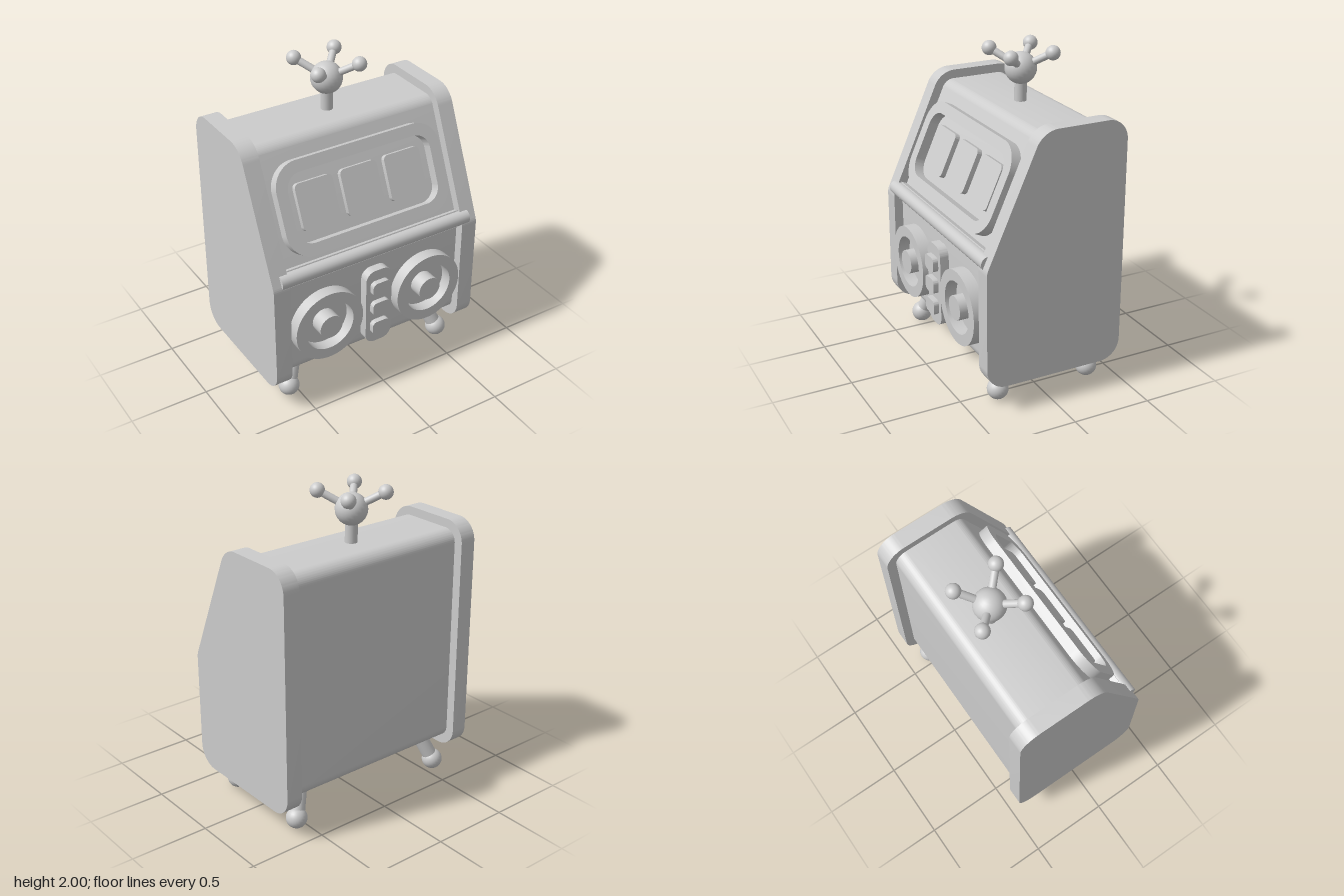
import * as THREE from 'three';
import { toCreasedNormals } from 'three/addons/utils/BufferGeometryUtils.js';

const V = (x, y, z) => new THREE.Vector3(x, y, z);

// Draws a convex counter-clockwise outline; each point is [u, v, cornerRadius].
function filletPath(path, pts) {
  const n = pts.length;
  pts.forEach(([u, v, r], i) => {
    const p = pts[(i + n - 1) % n], q = pts[(i + 1) % n];
    const a = Math.atan2(v - p[1], u - p[0]);
    let b = Math.atan2(q[1] - v, q[0] - u);
    if (b < a) b += Math.PI * 2;
    const t = r * Math.tan((b - a) / 2);
    const cx = u - t * Math.cos(a) - r * Math.sin(a);
    const cy = v - t * Math.sin(a) + r * Math.cos(a);
    path.absarc(cx, cy, r, a - Math.PI / 2, b - Math.PI / 2, false);
  });
  path.closePath();
  return path;
}

const rectPoints = (w, h, r) => [[-w, -h, r], [w, -h, r], [w, h, r], [-w, h, r]];

function extrude(shape, depth) {
  const geo = new THREE.ExtrudeGeometry(shape, { depth, bevelEnabled: false, curveSegments: 12 });
  return toCreasedNormals(geo, 0.5);
}

// Rounded plate with half-sizes w and h, back face on z = 0.
const plate = (w, h, r, depth) => extrude(filletPath(new THREE.Shape(), rectPoints(w, h, r)), depth);

// Side profile in (z, y) extruded along x and centred.
function profile(pts, width) {
  const geo = extrude(filletPath(new THREE.Shape(), pts), width);
  return geo.translate(0, 0, -width / 2).rotateY(-Math.PI / 2);
}

export function createModel() {
  const model = new THREE.Group();
  model.name = 'slotMachine';
  const grey = new THREE.MeshStandardMaterial({ color: 0xcccccc });
  grey.name = 'light grey';

  const add = (name, geo, pos = V(0, 0, 0), parent = model) => {
    const mesh = new THREE.Mesh(geo, grey);
    mesh.name = name;
    mesh.position.copy(pos);
    parent.add(mesh);
    return mesh;
  };
  const rod = (name, a, b, r) => {
    const dir = b.clone().sub(a);
    const mesh = add(name, new THREE.CylinderGeometry(r, r, dir.length(), 20), a.clone().add(b).multiplyScalar(0.5));
    mesh.quaternion.setFromUnitVectors(V(0, 1, 0), dir.normalize());
  };
  const ball = (name, pos, r) => add(name, new THREE.SphereGeometry(r, 24, 16), pos);

  // Cabinet between two larger side panels
  add('cabinetBody', profile([
    [-0.403, 0.232, 0.08], [0.373, 0.232, 0.08], [0.373, 0.913, 0.05],
    [0.048, 1.648, 0.08], [-0.403, 1.648, 0.08],
  ], 1.24));
  const panel = profile([
    [-0.462, 0.174, 0.13], [0.43, 0.174, 0.13], [0.43, 0.925, 0.1],
    [0.085, 1.704, 0.15], [-0.462, 1.704, 0.13],
  ], 0.107);
  for (const s of [-1, 1]) add(s > 0 ? 'leftPanel' : 'rightPanel', panel, V(s * 0.669, 0, 0));

  // Sloped display: frame and three reel windows
  const tilt = 0.417;
  const display = new THREE.Group();
  display.name = 'display';
  display.position.set(0, 1.307, 0.268);
  display.rotation.x = -tilt;
  model.add(display);
  const frame = filletPath(new THREE.Shape(), rectPoints(0.567, 0.284, 0.16));
  frame.holes.push(filletPath(new THREE.Path(), rectPoints(0.495, 0.212, 0.1)));
  add('displayFrame', extrude(frame, 0.066), V(0, 0, -0.065), display);
  const reel = plate(0.127, 0.143, 0.03, 0.035);
  for (const x of [-0.307, 0, 0.307]) add('reelWindow', reel, V(x, 0, -0.066), display);

  // Ledge and rounded bar below the display
  add('ledge', new THREE.BoxGeometry(1.23, 0.1, 0.09), V(0, 0.94, 0.355)).rotation.x = -tilt;
  const bar = new THREE.CylinderGeometry(0.045, 0.045, 1.334, 24).rotateZ(Math.PI / 2);
  add('bar', bar, V(0, 0.955, 0.394));

  // Round dials: open ring with a knob in the middle
  const ring = new THREE.Shape().absarc(0, 0, 0.233, 0, Math.PI * 2, false);
  ring.holes.push(new THREE.Path().absarc(0, 0, 0.164, 0, Math.PI * 2, true));
  const ringGeo = new THREE.ExtrudeGeometry(ring, { depth: 0.085, bevelEnabled: false, curveSegments: 40 });
  const dialGeo = toCreasedNormals(ringGeo, 0.5);
  const knobGeo = new THREE.CylinderGeometry(0.077, 0.077, 0.1, 32).rotateX(Math.PI / 2);
  for (const s of [-1, 1]) {
    add('dialRing', dialGeo, V(s * 0.36, 0.555, 0.365));
    add('dialKnob', knobGeo, V(s * 0.36, 0.555, 0.414));
  }

  // Button strip
  add('buttonPlate', plate(0.0925, 0.266, 0.065, 0.065), V(0, 0.552, 0.365));
  const button = plate(0.062, 0.048, 0.03, 0.044);
  for (const i of [-1, 0, 1]) add('button', button, V(0, 0.553 + i * 0.145, 0.42));

  // Splayed legs with ball feet
  for (const s of [-1, 1]) {
    for (const f of [-1, 1]) {
      const foot = V(s * 0.561, 0.067, -0.027 + f * 0.307);
      ball('foot', foot, 0.066);
      rod('leg', foot, V(s * 0.468, 0.3, -0.027 + f * 0.227), 0.048);
    }
  }

  // Top ornament: stem, ball and four antennae
  const hub = V(0, 1.85, -0.162);
  rod('stem', V(0, 1.6, -0.162), hub, 0.038);
  ball('topBall', hub, 0.098);
  for (const s of [-1, 1]) {
    for (const f of [-1, 1]) {
      const tip = V(s * 0.14, 1.956, -0.162 + f * 0.14);
      rod('antenna', hub, tip, 0.023);
      ball('antennaTip', tip, 0.045);
    }
  }
  return model;
}
